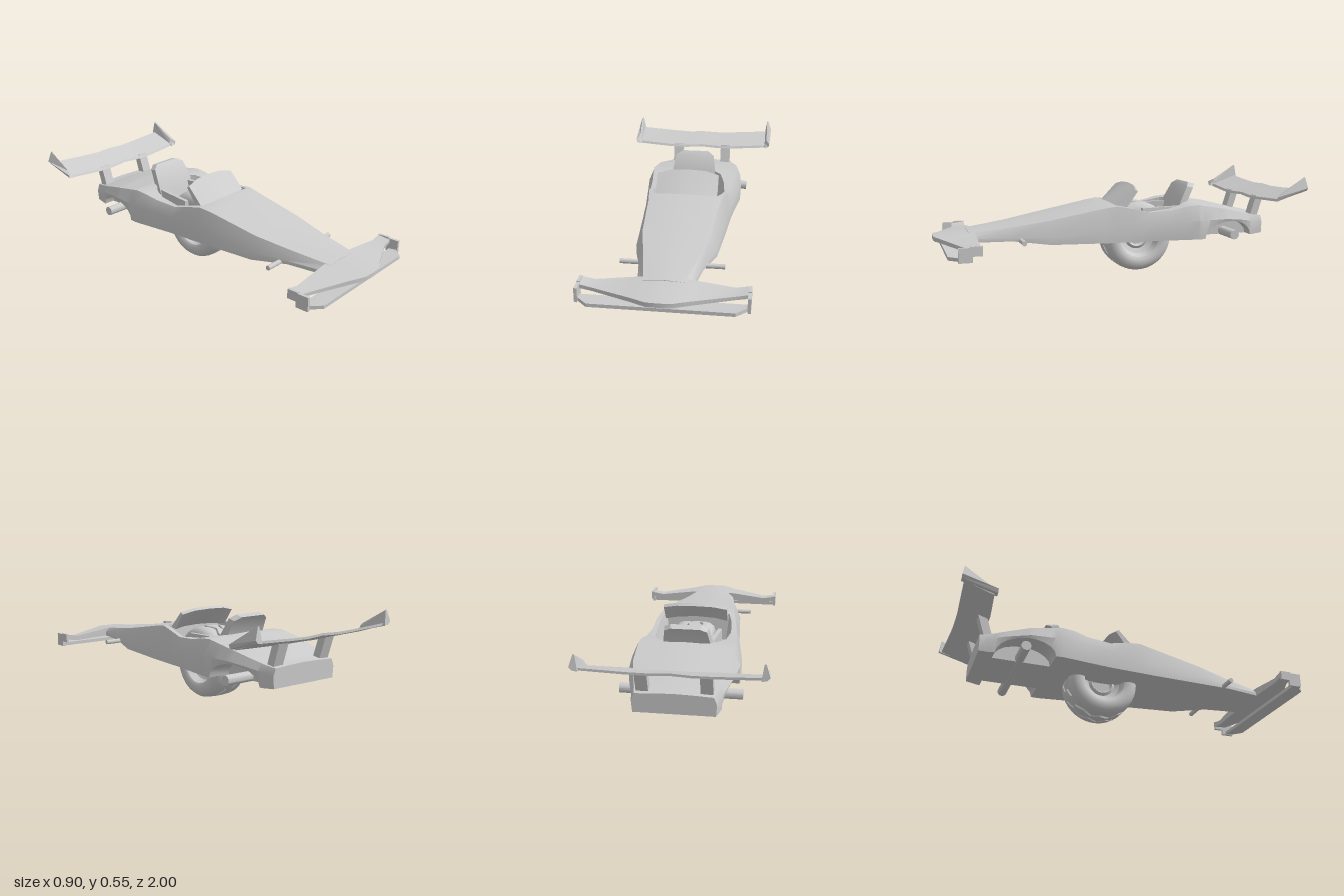
import * as THREE from 'three';
import { toCreasedNormals } from 'three/addons/utils/BufferGeometryUtils.js';

const grey = new THREE.MeshStandardMaterial({ color: 0xcccccc });
const greyDouble = new THREE.MeshStandardMaterial({ color: 0xcccccc, side: THREE.DoubleSide });

function add(group, name, geometry, material = grey) {
  const mesh = new THREE.Mesh(geometry, material);
  mesh.name = name;
  group.add(mesh);
  return mesh;
}

// Skin closed rings of [x, y, z]; rings run anticlockwise seen from outside the first end.
function loft(rings, { skip = () => false, startCap = true, endCap = true, crease = 0.5 } = {}) {
  const pos = [];
  const tri = (a, b, c) => pos.push(...a, ...b, ...c);
  const n = rings[0].length;
  for (let i = 0; i < rings.length - 1; i++) {
    for (let j = 0; j < n; j++) {
      if (skip(i, j)) continue;
      const k = (j + 1) % n;
      const a = rings[i][j], b = rings[i][k], c = rings[i + 1][k], d = rings[i + 1][j];
      tri(a, d, c);
      tri(a, c, b);
    }
  }
  const cap = (ring, flip) => {
    const mid = [0, 1, 2].map(k => ring.reduce((s, p) => s + p[k], 0) / n);
    ring.forEach((p, j) => {
      const q = ring[(j + 1) % n];
      if (flip) tri(mid, q, p); else tri(mid, p, q);
    });
  };
  if (startCap) cap(rings[0], false);
  if (endCap) cap(rings[rings.length - 1], true);
  const geo = new THREE.BufferGeometry();
  geo.setAttribute('position', new THREE.Float32BufferAttribute(pos, 3));
  geo.computeVertexNormals();
  return toCreasedNormals(geo, crease);
}

// Loft across the car from +x to -x; half lists stations from the outside to the centre.
function spanLoft(half, ringAt) {
  const mirrored = half.filter(s => s[0] > 0).map(s => [-s[0], ...s.slice(1)]).reverse();
  return loft([...half, ...mirrored].map(ringAt));
}

// Body stations: z, floor y, floor w, side w, side y, deck w, deck y, crown w, crown y
const BODY = [
  [0.82, 0.23, 0.13, 0.13, 0.25, 0.10, 0.276, 0.05, 0.28],
  [0.6, 0.232, 0.165, 0.165, 0.25, 0.14, 0.303, 0.07, 0.308],
  [0.4, 0.21, 0.215, 0.215, 0.25, 0.18, 0.335, 0.09, 0.34],
  [0.1, 0.205, 0.235, 0.235, 0.27, 0.2, 0.39, 0.15, 0.396],
  [0.03, 0.205, 0.24, 0.24, 0.28, 0.21, 0.4, 0.18, 0.403],
  [-0.06, 0.205, 0.245, 0.245, 0.29, 0.225, 0.385, 0.2, 0.385],
  [-0.15, 0.205, 0.25, 0.255, 0.3, 0.23, 0.362, 0.205, 0.362],
  [-0.28, 0.205, 0.265, 0.27, 0.305, 0.24, 0.37, 0.19, 0.372],
  [-0.36, 0.205, 0.275, 0.28, 0.31, 0.25, 0.388, 0.165, 0.39],
  [-0.43, 0.205, 0.283, 0.288, 0.31, 0.252, 0.394, 0.09, 0.402],
  [-0.6, 0.205, 0.265, 0.27, 0.31, 0.245, 0.365, 0.1, 0.375],
  [-0.72, 0.205, 0.235, 0.24, 0.295, 0.22, 0.335, 0.1, 0.345],
  [-0.8, 0.205, 0.21, 0.215, 0.28, 0.2, 0.315, 0.1, 0.32],
  [-0.855, 0.21, 0.2, 0.205, 0.27, 0.19, 0.308, 0.1, 0.313],
];
const ARCH = { z: -0.62, r: 0.155, h: 0.09 };
const OPEN_FRONT = 0.03, OPEN_BACK = -0.43;

function station(z) {
  let i = 0;
  while (i < BODY.length - 2 && z < BODY[i + 1][0]) i++;
  const a = BODY[i], b = BODY[i + 1], t = (z - a[0]) / (b[0] - a[0]);
  return a.map((v, k) => v + (b[k] - v) * t);
}

function bodyRing(z) {
  const [, yb, wb, wm, ym, wt, yt, wi, yc] = station(z);
  const rise = Math.sqrt(Math.max(0, 1 - ((z - ARCH.z) / ARCH.r) ** 2)) * ARCH.h;
  const wf = Math.min(0.15, wb * 0.9);
  const half = [[0, yb], [wf, yb], [wf, yb + rise], [wb, yb + rise], [wm, ym], [wt, yt], [wi, yc], [0, yc + 0.003]];
  const other = half.slice(1, -1).reverse().map(([x, y]) => [-x, y]);
  return [...half, ...other].map(([x, y]) => [x, y, z]);
}

// Tyre and hub turned as one profile, with zigzag tread grooves
function wheelGeometry() {
  const half = [[0, -0.04], [0.05, -0.04], [0.06, -0.055], [0.075, -0.045], [0.1, -0.06], [0.115, -0.1],
    [0.13, -0.11], [0.155, -0.11], [0.178, -0.1], [0.192, -0.08], [0.197, -0.058], [0.197, -0.04],
    [0.188, -0.036], [0.188, -0.026], [0.199, -0.022]];
  const profile = [...half, ...half.map(([r, y]) => [r, -y]).reverse()].map(p => new THREE.Vector2(...p));
  const steps = 48;
  const geo = new THREE.LatheGeometry(profile, steps);
  const p = geo.attributes.position;
  for (let i = 0; i < p.count; i++) {
    const y = p.getY(i);
    const seg = Math.floor(i / profile.length);
    const zig = Math.abs((seg % 4) - 2) - 1;
    if (Math.abs(y) < 0.045 && Math.hypot(p.getX(i), p.getZ(i)) > 0.15) p.setY(i, y + Math.sign(y) * zig * 0.012);
  }
  geo.rotateZ(-Math.PI / 2);
  return toCreasedNormals(geo, 0.6);
}

export function createModel() {
  const car = new THREE.Group();
  car.name = 'racingCar';

  // Body with rear wheel arches and an open cockpit
  const zs = BODY.map(s => s[0]);
  for (let i = 0; i <= 10; i++) zs.push(ARCH.z + ARCH.r * Math.cos(i * Math.PI / 10));
  const sorted = [...new Set(zs)].sort((a, b) => b - a);
  const isOpen = (i, j) => (j === 6 || j === 7) && sorted[i] <= OPEN_FRONT && sorted[i + 1] >= OPEN_BACK;
  add(car, 'body', loft(sorted.map(bodyRing), { skip: isOpen }));

  // Cockpit tub hanging from the rim of the opening
  const rim = BODY.filter(s => s[0] <= OPEN_FRONT && s[0] >= OPEN_BACK).map(s => [s[7], s[8], s[0]]);
  const ring = [...rim, ...rim.map(([x, y, z]) => [-x, y, z]).reverse()];
  const tubFloor = ring.map(([x, , z]) => [x * 0.9, 0.25, -0.2 + (z + 0.2) * 0.95]);
  add(car, 'cockpitTub', loft([ring, tubFloor], { startCap: false }), greyDouble);

  // Wheel
  add(car, 'wheel', wheelGeometry()).position.set(0, 0.203, -0.14);

  // Windscreen stations: x, bottom z, bottom y, top z, top y
  const screen = [[0.175, 0.005, 0.392, -0.085, 0.485], [0.1, 0.03, 0.398, -0.1, 0.502], [0, 0.04, 0.4, -0.105, 0.506]];
  add(car, 'windscreen', spanLoft(screen, ([x, zb, yb, zt, yt]) =>
    [[x, yb, zb], [x, yb - 0.008, zb - 0.04], [x, yt - 0.012, zt - 0.015], [x, yt, zt]]));

  // Seat back, tapering towards its top
  const seat = [[0.3, -0.35, 0.125], [0.4, -0.375, 0.13], [0.485, -0.42, 0.115], [0.505, -0.44, 0.08]];
  add(car, 'seatBack', loft(seat.map(([y, z, w]) =>
    [[-w, y, z], [w, y, z], [w * 0.95, y - 0.01, z - 0.04], [-w * 0.95, y - 0.01, z - 0.04]]).reverse()));

  // Front wing stations: x, front z, front y, back y, underside y
  const nose = [[0.415, 0.86, 0.256, 0.264, 0.236], [0.34, 0.865, 0.243, 0.25, 0.225],
    [0.14, 0.955, 0.254, 0.276, 0.232], [0.06, 0.998, 0.26, 0.281, 0.237], [0, 1, 0.26, 0.283, 0.237]];
  add(car, 'frontWing', spanLoft(nose, ([x, zf, yf, yk, yb]) =>
    [[x, yb, zf], [x, yb - 0.003, 0.79], [x, yk, 0.79], [x, yf, zf]]));
  const splitter = [[0.415, 0.89], [0.35, 0.955], [0, 0.955]];
  add(car, 'frontSplitter', spanLoft(splitter, ([x, zf]) =>
    [[x, 0.19, zf], [x, 0.183, 0.86], [x, 0.203, 0.86], [x, 0.208, zf]]));

  // Rear wing stations: x, front z, front y, back z, back y
  const wing = [[0.42, -0.83, 0.418, -0.985, 0.482], [0.2, -0.81, 0.408, -0.975, 0.47],
    [0.1, -0.815, 0.406, -0.97, 0.467], [0, -0.825, 0.41, -0.968, 0.472]];
  add(car, 'rearWing', spanLoft(wing, ([x, zf, yf, zk, yk]) =>
    [[x, yf, zf], [x, yk - 0.012, zk], [x, yk, zk], [x, yf + 0.013, zf - 0.008]]));

  // Axles
  const axle = (name, r, length, y, z) => {
    const geo = toCreasedNormals(new THREE.CylinderGeometry(r, r, length, 20).rotateZ(Math.PI / 2), 0.6);
    add(car, name, geo).position.set(0, y, z);
  };
  axle('frontAxle', 0.013, 0.54, 0.235, 0.555);
  axle('rearAxle', 0.026, 0.62, 0.225, -0.63);

  for (const s of [1, -1]) {
    const side = s > 0 ? 'left' : 'right';

    // Cockpit side rest
    const rest = add(car, side + 'CockpitRest', new THREE.BoxGeometry(0.022, 0.08, 0.27));
    rest.position.set(s * 0.125, 0.335, -0.27);
    rest.rotation.y = s * 0.14;

    // Front wing end plate
    add(car, side + 'FrontEndPlate', new THREE.BoxGeometry(0.016, 0.075, 0.07)).position.set(s * 0.41, 0.222, 0.875);
    add(car, side + 'FrontEndPlateTail', new THREE.BoxGeometry(0.016, 0.05, 0.06)).position.set(s * 0.41, 0.24, 0.82);

    // Rear wing end plate: inner and outer faces curl up to a swept tip
    const front = [[0.41, 0.418], [0.437, 0.424], [0.445, 0.445], [0.425, 0.462], [0.415, 0.44]];
    const back = [[0.41, 0.47], [0.437, 0.475], [0.45, 0.49], [0.43, 0.55], [0.422, 0.548]];
    const plate = [back.map(([x, y], j) => [s * x, y, j > 2 ? -0.99 : -1]),
      front.map(([x, y], j) => [s * x, y, j > 2 ? -0.845 : -0.815])];
    // Order the rings for each side so the faces point outward
    const rings = s > 0 ? [...plate].reverse() : plate;
    add(car, side + 'RearEndPlate', loft(rings, { crease: 0.3 }));

    // Rear wing strut
    const strut = [[0.425, -0.845], [0.3, -0.805]].map(([y, z]) =>
      [[-0.03, y, z + 0.02], [0.03, y, z + 0.02], [0.03, y, z - 0.025], [-0.03, y, z - 0.025]]);
    add(car, side + 'WingStrut', loft(strut)).position.x = s * 0.155;
  }
  return car;
}
